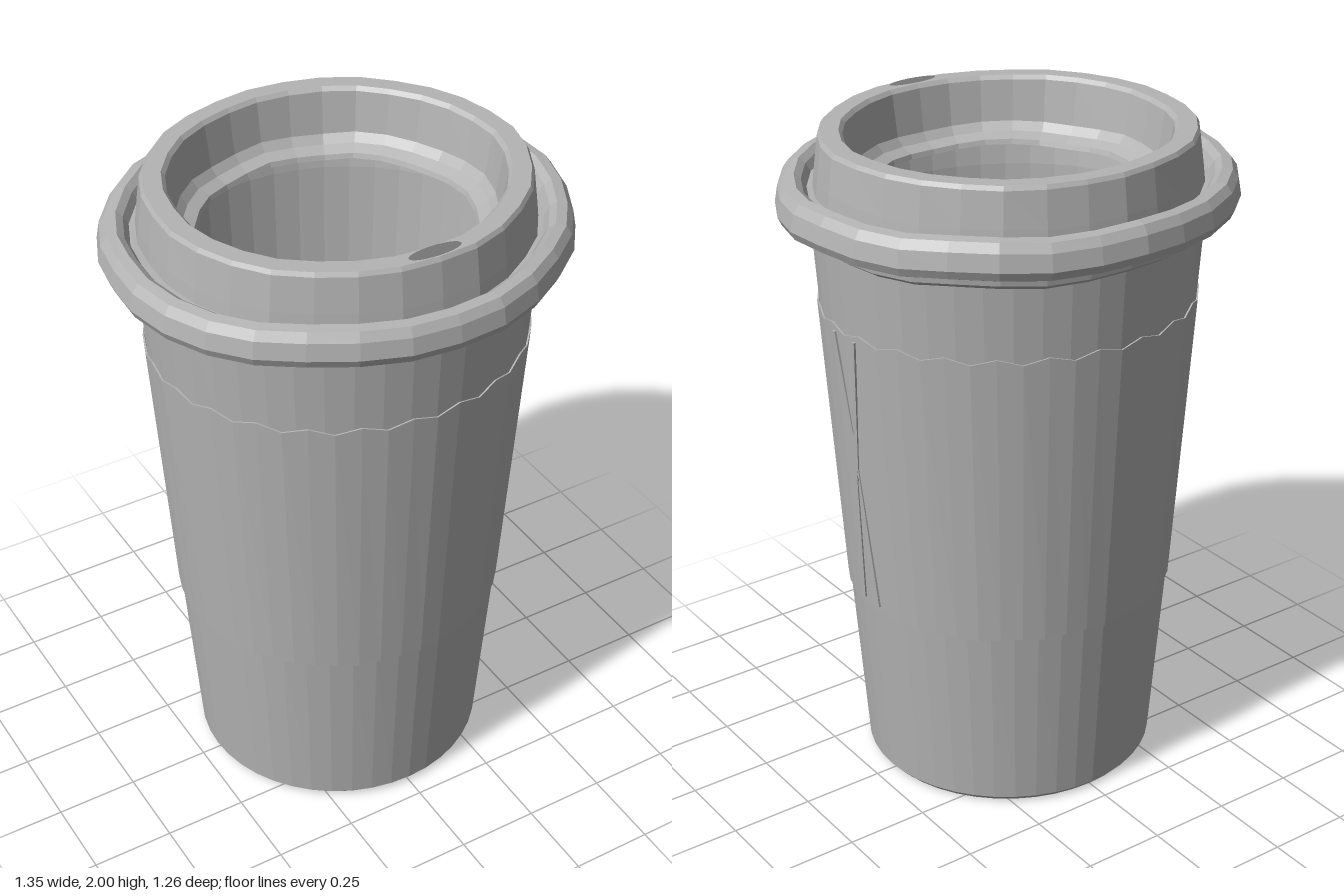
import * as THREE from 'three';

const cardboard = new THREE.MeshStandardMaterial({ color: 0xb4b4b4, flatShading: true, side: THREE.DoubleSide });
cardboard.name = 'grey cardboard';
const shadowGrey = new THREE.MeshStandardMaterial({ color: 0x777777, side: THREE.DoubleSide });
shadowGrey.name = 'dark opening';

// Turns a profile, flattens it in z by depth(y), and lets bend(point, angle) shift vertices.
function turned(name, points, sides, depth, bend) {
  const geo = new THREE.LatheGeometry(points.map(([r, y]) => new THREE.Vector2(r, y)), sides);
  const pos = geo.attributes.position;
  const p = new THREE.Vector3();
  for (let i = 0; i < pos.count; i++) {
    p.fromBufferAttribute(pos, i);
    const angle = Math.atan2(p.z, p.x);
    if (bend) bend(p, angle);
    pos.setXYZ(i, p.x, p.y, p.z * depth(p.y));
  }
  geo.computeVertexNormals();
  const mesh = new THREE.Mesh(geo, cardboard);
  mesh.name = name;
  return mesh;
}

const cupDepth = (y) => 0.98 - 0.028 * y;
const cupRadius = (y) => 0.449 + 0.073 * y;

// Slight hand-formed unevenness of the lid
function wobble(p, a) {
  const s = 1 + 0.005 * Math.sin(5 * a + 1) + 0.004 * Math.sin(11 * a);
  p.x *= s;
  p.z *= s;
  if (p.y < 1.95) p.y += 0.004 * Math.sin(7 * a + p.x * 3);
}

export function createModel() {
  const cup = new THREE.Group();
  cup.name = 'lidded cup';

  // Hollow cup: recessed underside, rolled foot, outer wall, inner wall and floor
  cup.add(turned('cupBody', [
    [0, 0.03], [0.385, 0.03], [0.39, 0.005], [0.43, 0.003], [0.446, 0.02],
    [cupRadius(0.6), 0.6], [cupRadius(1.5), 1.5], [cupRadius(1.74), 1.74],
    [0.555, 1.76], [0.545, 1.7], [0.43, 0.06], [0.39, 0.045], [0, 0.045],
  ], 44, cupDepth));

  // Sleeve with a scalloped upper edge
  const sleeve = [[0.001, 0.6], [0.006, 0.6], [0.006, 1.5], [0.001, 1.5]]
    .map(([d, y]) => [cupRadius(y) + d, y]);
  cup.add(turned('sleeve', sleeve, 48, cupDepth, (p, a) => {
    const step = Math.round(a / (Math.PI / 24));
    if (p.y > 1) p.y += step % 2 ? 0.01 : -0.008;
    else p.y += step % 3 ? 0.002 : -0.004;
  }));

  // Pinched sleeve seam on the left side
  const seam = new THREE.Group();
  seam.name = 'sleeveSeam';
  const folds = [
    [[0.045, 0.44], [0.056, 0.44], [0.002, -0.02], [-0.004, 0.1]],
    [[-0.056, 0.44], [-0.045, 0.44], [0.004, 0.1], [-0.002, -0.02]],
    [[0.0, 0.05], [0.004, 0.05], [0.045, -0.43], [0.036, -0.43]],
    [[-0.004, 0.05], [0.0, 0.05], [-0.03, -0.43], [-0.038, -0.43]],
  ];
  for (const fold of folds) {
    const shape = new THREE.Shape(fold.map(([x, y]) => new THREE.Vector2(x, y)));
    const strip = new THREE.Mesh(
      new THREE.ExtrudeGeometry(shape, { depth: 0.006, bevelEnabled: false }), cardboard);
    strip.name = 'seamFold';
    strip.rotation.y = Math.PI / 2;
    seam.add(strip);
  }
  seam.position.set(cupRadius(1.05) + 0.003, 1.05, 0);
  seam.rotation.z = -Math.atan(0.073);
  cup.add(seam);

  // Lid skirt: lower bead, wide rolled rim and the channel inside it
  cup.add(turned('lidRim', [
    [0.56, 1.73], [0.578, 1.72], [0.6, 1.735], [0.603, 1.755], [0.59, 1.768],
    [0.64, 1.765], [0.665, 1.775], [0.677, 1.8], [0.668, 1.85], [0.65, 1.875],
    [0.62, 1.88], [0.6, 1.865], [0.585, 1.84], [0.56, 1.84],
  ], 30, () => 0.93, wobble));

  // Raised collar, its inner wall and the ledge round the open centre
  cup.add(turned('lidCollar', [
    [0.565, 1.835], [0.56, 1.88], [0.546, 1.985], [0.538, 1.997], [0.485, 1.997],
    [0.474, 1.985], [0.455, 1.86], [0.435, 1.835], [0.4, 1.82], [0.395, 1.805],
    [0.43, 1.8], [0.55, 1.77],
  ], 30, () => 0.955, wobble));

  // Sip opening on the front of the collar
  const oval = new THREE.Shape().absellipse(0, 0, 0.08, 0.024, 0, Math.PI * 2);
  const sip = new THREE.Mesh(new THREE.ShapeGeometry(oval, 12), shadowGrey);
  sip.name = 'sipOpening';
  sip.rotation.x = -Math.PI / 2;
  sip.position.set(0, 2, 0.488);
  cup.add(sip);

  return cup;
}
